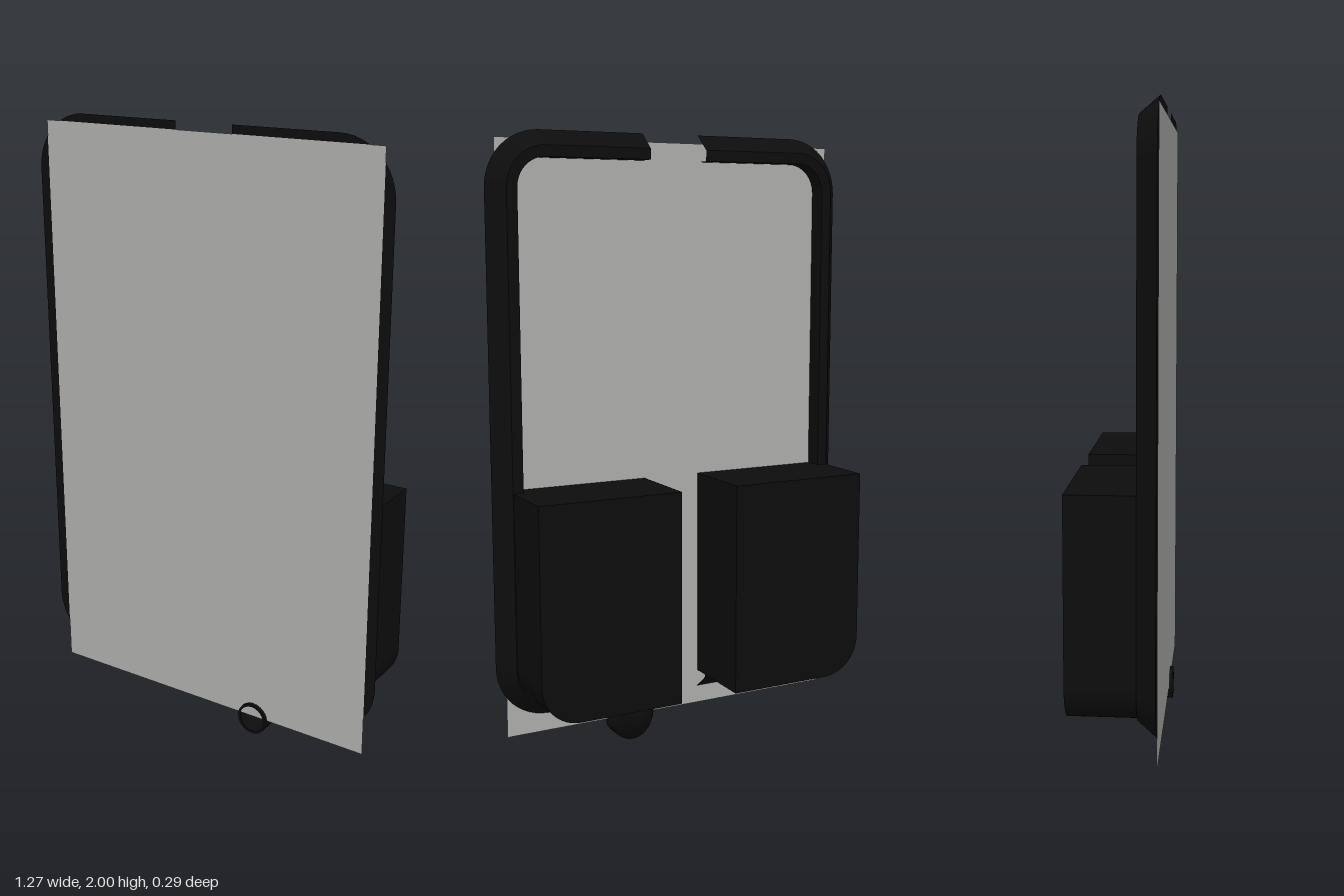
import * as THREE from 'three';

const HALF_W = 0.635, TOP = 2, BOTTOM = 0.12, RADIUS = 0.18, GAP = 0.1, FRONT = 0.13;

// Outer edge of one half of the frame, as points with outward normals (clockwise)
function halfOutline(side) {
  const pts = [{ x: GAP, y: TOP, nx: 0, ny: 1 }];
  const corner = (cy, from) => {
    for (let i = 0; i <= 12; i++) {
      const a = from - (i / 12) * Math.PI / 2;
      const nx = Math.cos(a), ny = Math.sin(a);
      pts.push({ x: HALF_W - RADIUS + RADIUS * nx, y: cy + RADIUS * ny, nx, ny });
    }
  };
  corner(TOP - RADIUS, Math.PI / 2);
  corner(BOTTOM + RADIUS, 0);
  pts.push({ x: GAP, y: BOTTOM, nx: 0, ny: -1 });
  if (side > 0) return pts;
  return pts.map(p => ({ ...p, x: -p.x, nx: -p.nx })).reverse();
}

// Sweep the chamfered section along the outline; each side keeps sharp edges
function frameGeometry(side) {
  const section = [[0, FRONT], [0.05, 0.07], [0.085, 0.07], [0.085, FRONT]];
  const path = halfOutline(side);
  const pos = [], index = [];
  section.forEach((s, k) => {
    const ends = [s, section[(k + 1) % section.length]];
    const base = pos.length / 3;
    for (const p of path)
      for (const [inset, z] of ends) pos.push(p.x - p.nx * inset, p.y - p.ny * inset, z);
    for (let i = 0; i < path.length - 1; i++) {
      const a = base + i * 2, c = a + 1, b = a + 2, d = a + 3;
      index.push(a, b, c, b, d, c);
    }
  });
  const geo = new THREE.BufferGeometry();
  geo.setAttribute('position', new THREE.Float32BufferAttribute(pos, 3));
  geo.setIndex(index);
  geo.computeVertexNormals();
  return geo;
}

// Box with its lower outer corner rounded to follow the frame
function boxGeometry(side) {
  const x0 = GAP, x1 = 0.583, y0 = 0.178, y1 = 0.878, r = 0.13, s = side;
  const shape = new THREE.Shape();
  shape.moveTo(s * x0, y0);
  shape.lineTo(s * (x1 - r), y0);
  shape.absarc(s * (x1 - r), y0 + r, r, -Math.PI / 2, s > 0 ? 0 : -Math.PI, s < 0);
  shape.lineTo(s * x1, y1);
  shape.lineTo(s * x0, y1);
  shape.closePath();
  const geo = new THREE.ExtrudeGeometry(shape, { depth: 0.268, bevelEnabled: false, curveSegments: 12 });
  return geo.translate(0, 0, -0.142);
}

export function createModel() {
  const model = new THREE.Group();
  const black = new THREE.MeshStandardMaterial({ name: 'black', color: 0x0d0d0d });
  const blackOpen = new THREE.MeshStandardMaterial({ name: 'blackOpen', color: 0x0d0d0d, side: THREE.DoubleSide });
  const grey = new THREE.MeshStandardMaterial({ name: 'grey', color: 0xb0b0ae, side: THREE.DoubleSide });
  const add = (name, geo, mat) => {
    const mesh = new THREE.Mesh(geo, mat);
    mesh.name = name;
    model.add(mesh);
    return mesh;
  };

  // Flat front sheet
  add('frontPanel', new THREE.PlaneGeometry(1.2, 1.915), grey).position.set(0, 1.016, FRONT + 0.002);

  // Split frame and rear boxes
  for (const [side, label] of [[1, 'left'], [-1, 'right']]) {
    add(label + 'Frame', frameGeometry(side), black);
    add(label + 'Box', boxGeometry(side), black);
  }

  // Open elbow pipe from under the left box to the front
  const x = 0.19, y = 0.054, z = 0.007, r = 0.054, bend = 0.08, k = bend * 0.45, end = 0.143;
  const v = (yy, zz) => new THREE.Vector3(x, yy, zz);
  const path = new THREE.CurvePath();
  path.add(new THREE.LineCurve3(v(0.2, z), v(y + bend, z)));
  path.add(new THREE.CubicBezierCurve3(v(y + bend, z), v(y + bend - k, z), v(y, z + bend - k), v(y, z + bend)));
  path.add(new THREE.LineCurve3(v(y, z + bend), v(y, end)));
  add('pipe', new THREE.TubeGeometry(path, 32, r, 24), blackOpen);
  add('pipeRim', new THREE.RingGeometry(r - 0.009, r, 24), blackOpen).position.set(x, y, end);

  return model;
}
